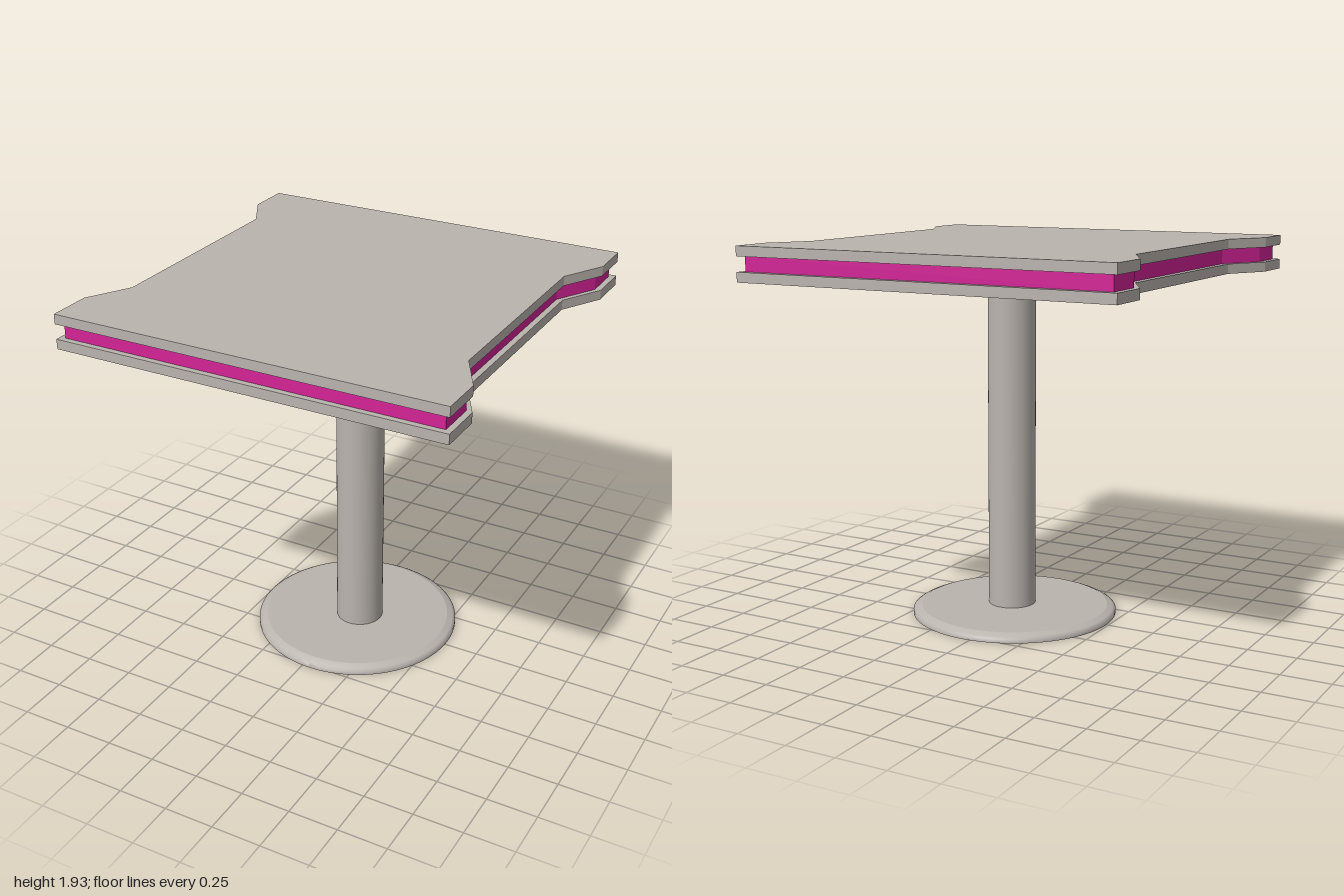
import * as THREE from 'three';

export function createModel() {
  const model = new THREE.Group();
  const stone = new THREE.MeshStandardMaterial({ color: 0xbab4ae });
  stone.name = 'warm grey';
  const pink = new THREE.MeshStandardMaterial({ color: 0xd42397 });
  pink.name = 'magenta';

  function add(name, geometry, material, x, y, z) {
    const mesh = new THREE.Mesh(geometry, material);
    mesh.name = name;
    mesh.position.set(x, y, z);
    model.add(mesh);
  }

  // Square slab with waisted left and right sides, standing on y = 0
  function slab(end, waist, shoulder, neck, height) {
    const corner = [[end, -end], [end, -shoulder], [waist, -neck], [waist, neck], [end, shoulder], [end, end]];
    const outline = [...corner, ...corner.map(([x, z]) => [-x, -z])];
    const shape = new THREE.Shape(outline.map(([x, z]) => new THREE.Vector2(x, z)));
    const geometry = new THREE.ExtrudeGeometry(shape, { depth: height, bevelEnabled: false });
    return geometry.rotateX(-Math.PI / 2);
  }

  // Table top: two plates with a recessed coloured core
  for (const [name, y] of [['lowerPlate', 1.76], ['upperPlate', 1.885]]) {
    add(name, slab(1, 0.88, 0.775, 0.56, 0.05), stone, 0, y, 0);
  }
  add('core', slab(0.97, 0.85, 0.77, 0.555, 0.075), pink, 0, 1.81, 0);

  // Pole, slightly off centre
  add('pole', new THREE.CylinderGeometry(0.122, 0.122, 1.73, 48, 1, true), stone, 0.06, 0.9, 0);

  // Round foot with a bevelled rim; repeated points keep the edges crisp
  const profile = [[0, 0], [0.53, 0], [0.53, 0], [0.53, 0.02], [0.515, 0.03], [0.485, 0.042], [0.485, 0.042], [0, 0.042]];
  const foot = new THREE.LatheGeometry(profile.map(([r, y]) => new THREE.Vector2(r, y)), 64);
  foot.computeVertexNormals();
  add('foot', foot, stone, 0.04, 0, -0.01);

  return model;
}
